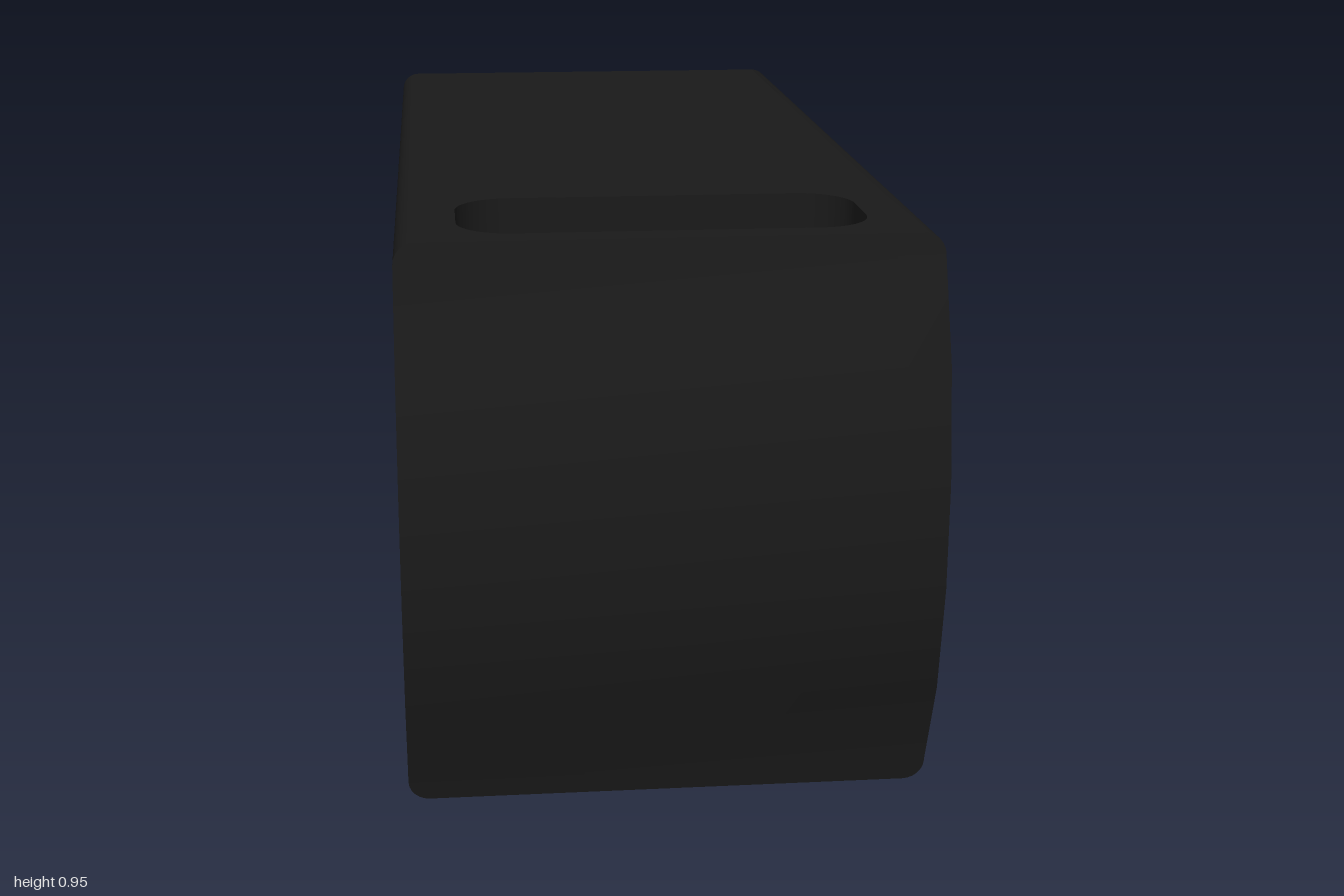
import * as THREE from 'three';
import { toCreasedNormals } from 'three/addons/utils/BufferGeometryUtils.js';

const W = 0.435, H = 0.95, R = 0.035, BACK = -0.92, BEVEL = 0.007;

// Rounded rectangle, counter-clockwise
function roundedRect(x0, y0, x1, y1, r, PathType = THREE.Shape) {
  const p = new PathType();
  p.moveTo(x0 + r, y0);
  p.lineTo(x1 - r, y0);
  p.absarc(x1 - r, y0 + r, r, -Math.PI / 2, 0);
  p.lineTo(x1, y1 - r);
  p.absarc(x1 - r, y1 - r, r, 0, Math.PI / 2);
  p.lineTo(x0 + r, y1);
  p.absarc(x0 + r, y1 - r, r, Math.PI / 2, Math.PI);
  p.lineTo(x0, y0 + r);
  p.absarc(x0 + r, y0 + r, r, Math.PI, Math.PI * 1.5);
  return p;
}

// Skin between closed rings of [x, y, z], counter-clockwise from above
function loft(rings) {
  const n = rings[0].length, index = [];
  for (let i = 0; i < rings.length - 1; i++) {
    for (let j = 0; j < n; j++) {
      const a = i * n + j, b = i * n + (j + 1) % n;
      index.push(a, b, b + n, a, b + n, a + n);
    }
  }
  const g = new THREE.BufferGeometry();
  g.setAttribute('position', new THREE.Float32BufferAttribute(rings.flat(2), 3));
  g.setIndex(index);
  return toCreasedNormals(g, 0.5);
}

// Bowed front: z at a given height, in straight facets
const bow = [[0, 0.9], [0.04, 0.907], [0.2, 0.97], [0.385, 1], [0.565, 1], [0.75, 0.97], [0.91, 0.907], [0.95, 0.9]];
function frontZ(y) {
  const i = Math.max(1, bow.findIndex(([h]) => h >= y - 1e-6));
  const [y0, z0] = bow[i - 1], [y1, z1] = bow[i];
  return THREE.MathUtils.lerp(z0, z1, (y - y0) / (y1 - y0));
}

export function createModel() {
  const group = new THREE.Group();
  const material = new THREE.MeshStandardMaterial({ color: 0x1a1a1a });
  const add = (name, geometry, parent = group) => {
    const mesh = new THREE.Mesh(geometry, material);
    mesh.name = name;
    parent.add(mesh);
    return mesh;
  };

  const body = new THREE.Group();
  body.name = 'body';
  group.add(body);

  // Heights and half widths from bottom to top, with rounded long edges
  const lower = [];
  for (let i = 0; i <= 6; i++) {
    const a = (i / 6) * Math.PI / 2;
    lower.push([R * (1 - Math.cos(a)), W - R + R * Math.sin(a)]);
  }
  const rows = [
    ...lower,
    ...bow.slice(1, -1).map(([y]) => [y, W]),
    ...lower.map(([y, w]) => [H - y, w]).reverse(),
  ];
  add('shell', loft(rows.map(([y, w]) => {
    const f = frontZ(y);
    const back = BACK + Math.max(0, BEVEL - Math.min(y, H - y));
    return [
      [-w + BEVEL, y, back], [-w, y, BACK + BEVEL], [-w, y, f],
      [w, y, f], [w, y, BACK + BEVEL], [w - BEVEL, y, back],
    ];
  })), body);

  // Flat top and bottom, each pierced by the handle slot
  const slot = [0.335, 0.575, 0.85, 0.09];
  for (const s of [1, -1]) {
    const z = [BACK + BEVEL, 0.9].map((v) => -s * v).sort((a, b) => a - b);
    const h = [slot[1], slot[2]].map((v) => -s * v).sort((a, b) => a - b);
    const e = W - R;
    const face = new THREE.Shape([[-e, z[0]], [e, z[0]], [e, z[1]], [-e, z[1]]].map((p) => new THREE.Vector2(...p)));
    face.holes.push(roundedRect(-slot[0], h[0], slot[0], h[1], slot[3], THREE.Path));
    const g = new THREE.ShapeGeometry(face, 12).rotateX(-s * Math.PI / 2);
    add(s > 0 ? 'topFace' : 'bottomFace', g.translate(0, s > 0 ? H : 0, 0), body);
  }

  // Slot wall running straight through, facing inward
  const outline = roundedRect(-slot[0], -slot[2], slot[0], -slot[1], slot[3]).getPoints(12).slice(0, -1).reverse();
  add('slotWall', loft([0, H].map((y) => outline.map((p) => [p.x, y, -p.y]))), body);

  // Inset plate on the back
  const plate = new THREE.ExtrudeGeometry(roundedRect(-0.41, 0.04, 0.41, 0.93, 0.035), {
    depth: 0.09, bevelEnabled: false, curveSegments: 8,
  });
  add('backPlate', toCreasedNormals(plate, 0.5)).position.z = -1;

  return group;
}
